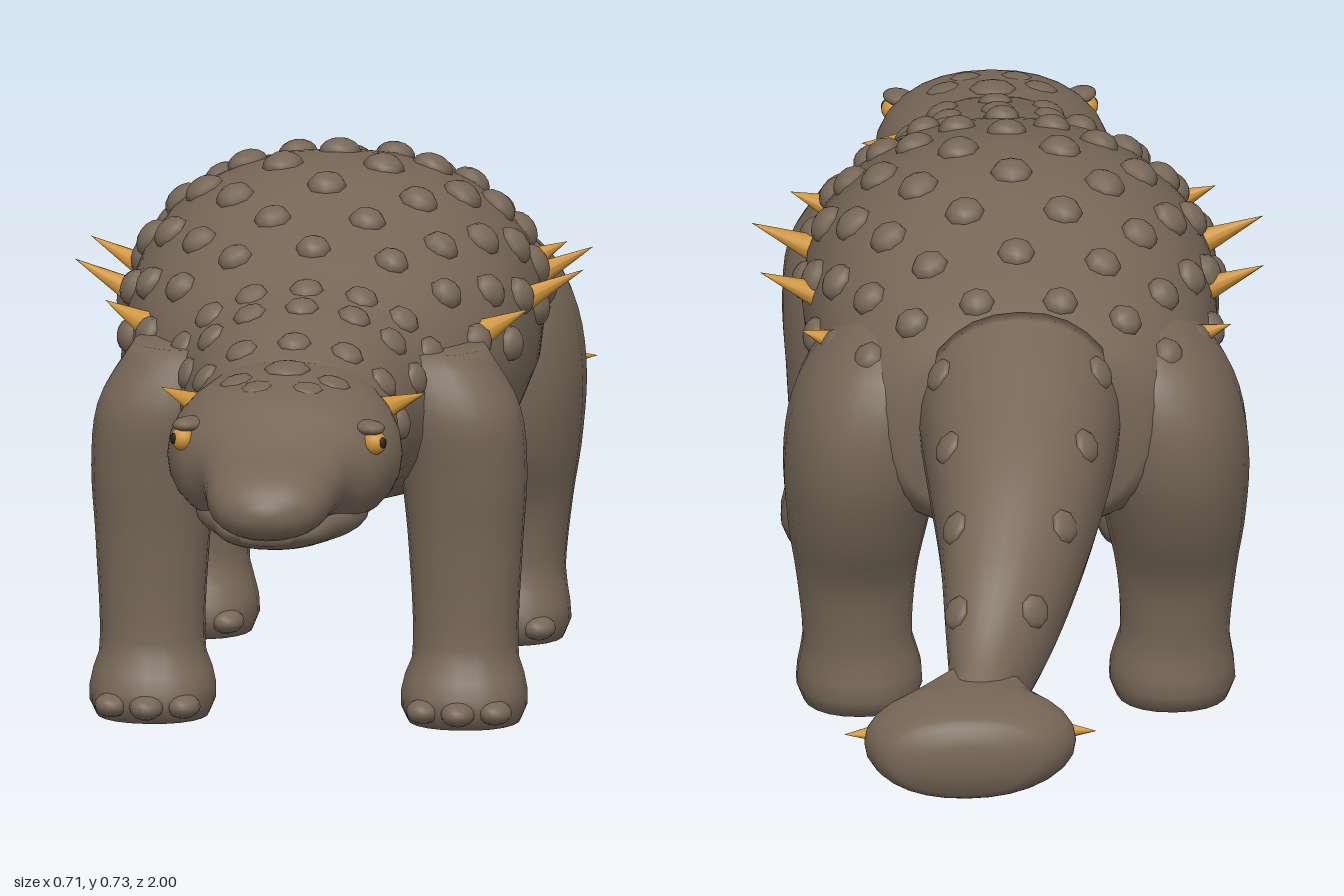
import * as THREE from 'three';

const skin = new THREE.MeshStandardMaterial({ color: 0x766657 });
skin.name = 'brownSkin';
const horn = new THREE.MeshStandardMaterial({ color: 0xcf9439 });
horn.name = 'amberHorn';
const dark = new THREE.MeshStandardMaterial({ color: 0x2b2119 });
dark.name = 'darkPupil';

// Stations are [position along axis, centre a, centre b, radius a, radius b]
const BODY = [
  [-0.36, 0, 0.465, 0.17, 0.13], [-0.3, 0, 0.465, 0.225, 0.165], [-0.2, 0, 0.47, 0.262, 0.2],
  [-0.05, 0, 0.49, 0.282, 0.225], [0.1, 0, 0.491, 0.286, 0.229], [0.25, 0, 0.478, 0.268, 0.203],
  [0.35, 0, 0.47, 0.235, 0.18], [0.43, 0, 0.46, 0.192, 0.155], [0.5, 0, 0.455, 0.165, 0.145],
  [0.6, 0, 0.44, 0.15, 0.13], [0.66, 0, 0.433, 0.145, 0.12],
];
const HEAD = [
  [0.56, 0, 0.455, 0.115, 0.105], [0.65, 0, 0.447, 0.152, 0.11], [0.72, 0, 0.442, 0.163, 0.108],
  [0.79, 0, 0.44, 0.145, 0.096], [0.84, 0, 0.435, 0.108, 0.074], [0.89, 0, 0.425, 0.093, 0.058],
  [0.94, 0, 0.418, 0.083, 0.052], [0.98, 0, 0.412, 0.06, 0.037], [1, 0, 0.408, 0.025, 0.016],
];
const JAW = [
  [0.66, 0, 0.38, 0.11, 0.05], [0.76, 0, 0.372, 0.12, 0.045], [0.84, 0, 0.368, 0.09, 0.034],
  [0.92, 0, 0.37, 0.066, 0.022], [0.965, 0, 0.374, 0.035, 0.012],
];
const TAIL = [
  [-0.88, 0.085, 0.25, 0.04, 0.05], [-0.81, 0.066, 0.275, 0.05, 0.07], [-0.72, 0.042, 0.333, 0.076, 0.098],
  [-0.6, 0.02, 0.4, 0.102, 0.12], [-0.45, 0.006, 0.455, 0.128, 0.14], [-0.335, 0, 0.488, 0.142, 0.156],
];
const CLUB = [
  [-1, 0.105, 0.245, 0.05, 0.025], [-0.985, 0.1, 0.244, 0.105, 0.055], [-0.94, 0.092, 0.242, 0.14, 0.068],
  [-0.89, 0.09, 0.243, 0.143, 0.07], [-0.84, 0.085, 0.25, 0.1, 0.06], [-0.8, 0.07, 0.27, 0.05, 0.05],
];
const FRONT_LEG = [
  [0.005, 0.217, 0.4, 0.078, 0.08], [0.03, 0.217, 0.403, 0.088, 0.093], [0.065, 0.217, 0.4, 0.084, 0.085],
  [0.1, 0.218, 0.395, 0.073, 0.072], [0.25, 0.218, 0.392, 0.079, 0.077], [0.36, 0.215, 0.392, 0.088, 0.09],
  [0.45, 0.2, 0.395, 0.092, 0.094], [0.53, 0.165, 0.385, 0.08, 0.075],
];
const HIND_LEG = [
  [0.005, 0.217, -0.175, 0.078, 0.08], [0.03, 0.217, -0.172, 0.088, 0.093], [0.065, 0.217, -0.175, 0.084, 0.085],
  [0.1, 0.22, -0.182, 0.076, 0.076], [0.2, 0.222, -0.185, 0.084, 0.09], [0.28, 0.22, -0.187, 0.098, 0.13],
  [0.38, 0.212, -0.192, 0.111, 0.158], [0.47, 0.2, -0.195, 0.108, 0.155], [0.54, 0.18, -0.195, 0.09, 0.125],
  [0.58, 0.16, -0.195, 0.06, 0.08],
];

// Smooth interpolation between stations
function section(st, t) {
  let i = 0;
  while (i < st.length - 2 && t > st[i + 1][0]) i++;
  const p = st[i], q = st[i + 1], h = q[0] - p[0], u = (t - p[0]) / h;
  const slope = (k, c) => {
    const a = st[Math.max(k - 1, 0)], b = st[Math.min(k + 1, st.length - 1)];
    return (b[c] - a[c]) / (b[0] - a[0]);
  };
  return p.map((v, c) => c === 0 ? t
    : (2 * u ** 3 - 3 * u * u + 1) * v + (u ** 3 - 2 * u * u + u) * h * slope(i, c)
    + (3 * u * u - 2 * u ** 3) * q[c] + (u ** 3 - u * u) * h * slope(i + 1, c));
}

// Point on a loft; angle is measured from the top (or the front, for upright lofts)
function surface(st, t, angle, upright = false, scale = 1) {
  const [, a, b, ra, rb] = section(st, t);
  const bulge = (v) => Math.sign(v) * Math.abs(v) ** 0.92 * scale;
  const x = a + ra * bulge(Math.sin(angle)), w = b + rb * bulge(Math.cos(angle));
  return upright ? new THREE.Vector3(x, t, w) : new THREE.Vector3(x, w, t);
}

function loft(st, upright = false, sides = 28, steps = 36) {
  const pos = [], index = [], t0 = st[0][0], t1 = st[st.length - 1][0];
  const rows = steps + 3;
  for (let i = 0; i < rows; i++) {
    const cap = i === 0 || i === rows - 1;
    const t = t0 + (t1 - t0) * Math.min(Math.max(i - 1, 0), steps) / steps;
    for (let j = 0; j < sides; j++) pos.push(...surface(st, t, j / sides * Math.PI * 2, upright, cap ? 0 : 1));
  }
  for (let i = 0; i < rows - 1; i++) for (let j = 0; j < sides; j++) {
    const a = i * sides + j, b = i * sides + (j + 1) % sides, c = a + sides, d = b + sides;
    index.push(...(upright ? [a, b, c, b, d, c] : [a, c, b, b, c, d]));
  }
  const g = new THREE.BufferGeometry();
  g.setAttribute('position', new THREE.Float32BufferAttribute(pos, 3));
  g.setIndex(index);
  g.computeVertexNormals();
  return g;
}

export function createModel() {
  const model = new THREE.Group();
  model.name = 'armouredDinosaur';
  const up = new THREE.Vector3(0, 1, 0);

  function add(name, geometry, material = skin, parent = model) {
    const m = new THREE.Mesh(geometry, material);
    m.name = name;
    parent.add(m);
    return m;
  }

  add('body', loft(BODY));
  add('head', loft(HEAD));
  add('lowerJaw', loft(JAW));
  add('tail', loft(TAIL));
  add('tailClub', loft(CLUB));

  // Armour bumps, seated along the surface normal
  const bump = new THREE.SphereGeometry(1, 8, 4, 0, Math.PI * 2, 0, Math.PI / 2);
  function scute(st, z, angle, r, height = 0.02, name = 'scute') {
    const p = surface(st, z, angle), e = 0.01;
    const along = surface(st, z + e, angle).sub(surface(st, z - e, angle));
    const around = surface(st, z, angle + e).sub(surface(st, z, angle - e));
    const n = along.cross(around).normalize();
    const m = add(name, bump);
    m.position.copy(p).addScaledVector(n, -0.003);
    m.quaternion.setFromUnitVectors(up, n);
    m.scale.set(r, height, r);
  }
  for (let row = 0; row < 8; row++) {
    const z = -0.28 + row * 0.0885, r = 0.03 - Math.abs(row - 3.5) * 0.0015;
    const angles = row % 2 ? [0, 0.44, 0.86, 1.28] : [0.22, 0.65, 1.07, 1.45];
    for (const a of angles) for (const s of a ? [-1, 1] : [1]) scute(BODY, z, s * a, r);
  }
  for (const [z, step] of [[0.43, 0.38], [0.49, 0.42], [0.59, 0.48]])
    for (let k = -3; k <= 3; k++) scute(BODY, z, k * step, 0.024, 0.014, 'neckScute');
  scute(HEAD, 0.68, 0, 0.033, 0.012, 'headScute');
  for (const s of [-1, 1]) {
    scute(HEAD, 0.71, s * 0.4, 0.024, 0.008, 'headScute');
    scute(HEAD, 0.75, s * 0.2, 0.022, 0.007, 'headScute');
    for (const z of [-0.375, -0.51, -0.64, -0.75]) scute(TAIL, z, s * 0.95, 0.025, 0.012, 'tailScute');
  }

  function spike(name, base, tip, r) {
    const a = new THREE.Vector3(...base), d = new THREE.Vector3(...tip).sub(a);
    const m = add(name, new THREE.ConeGeometry(r, d.length(), 10), horn);
    m.position.copy(a).addScaledVector(d, 0.5);
    m.quaternion.setFromUnitVectors(up, d.normalize());
  }

  const toe = new THREE.SphereGeometry(1, 12, 8);
  for (const s of [-1, 1]) {
    const side = s > 0 ? 'left' : 'right';
    // Legs and toes
    for (const [name, st, toeZ] of [['FrontLeg', FRONT_LEG, 0.49], ['HindLeg', HIND_LEG, -0.088]]) {
      add(side + name, loft(st.map(([y, x, ...rest]) => [y, s * x, ...rest]), true, 22, 24));
      for (let k = -1; k <= 1; k++) {
        const m = add(side + name + 'Toe', toe);
        m.position.set(s * 0.217 + k * 0.05, 0.03, toeZ - Math.abs(k) * 0.018);
        m.scale.set(0.024, 0.017, 0.03);
      }
    }
    // Flank spikes, cheek horns and club spikes
    spike('flankSpike', [s * 0.225, 0.53, 0.31], [s * 0.295, 0.565, 0.295], 0.022);
    spike('flankSpike', [s * 0.25, 0.535, 0.145], [s * 0.355, 0.588, 0.13], 0.023);
    spike('flankSpike', [s * 0.25, 0.535, -0.02], [s * 0.35, 0.585, -0.04], 0.023);
    spike('flankSpike', [s * 0.235, 0.53, -0.17], [s * 0.298, 0.56, -0.19], 0.022);
    spike('cheekHorn', [s * 0.125, 0.49, 0.635], [s * 0.185, 0.508, 0.6], 0.018);
    spike('clubSpike', [0.09 + s * 0.12, 0.248, -0.89], [0.09 + s * 0.175, 0.25, -0.9], 0.015);

    // Eyes with a thin pupil and a brow ridge
    const p = surface(HEAD, 0.795, s * 1.2), look = new THREE.Vector3(s * 0.8, 0.1, 0.6).normalize();
    const eye = add(side + 'Eye', new THREE.SphereGeometry(0.017, 14, 10), horn);
    eye.position.copy(p);
    const pupil = add(side + 'Pupil', new THREE.SphereGeometry(1, 10, 6), dark);
    pupil.position.copy(p).addScaledVector(look, 0.016);
    pupil.quaternion.setFromUnitVectors(new THREE.Vector3(0, 0, 1), look);
    pupil.scale.set(0.006, 0.008, 0.003);
    const brow = add(side + 'Brow', toe);
    brow.position.copy(p).add(new THREE.Vector3(-s * 0.008, 0.02, -0.006));
    brow.rotation.y = s * 0.6;
    brow.scale.set(0.02, 0.01, 0.028);
    // Nostril bump
    const nostril = add(side + 'Nostril', toe);
    nostril.position.set(s * 0.045, 0.432, 0.95);
    nostril.scale.set(0.022, 0.018, 0.025);
  }
  return model;
}
